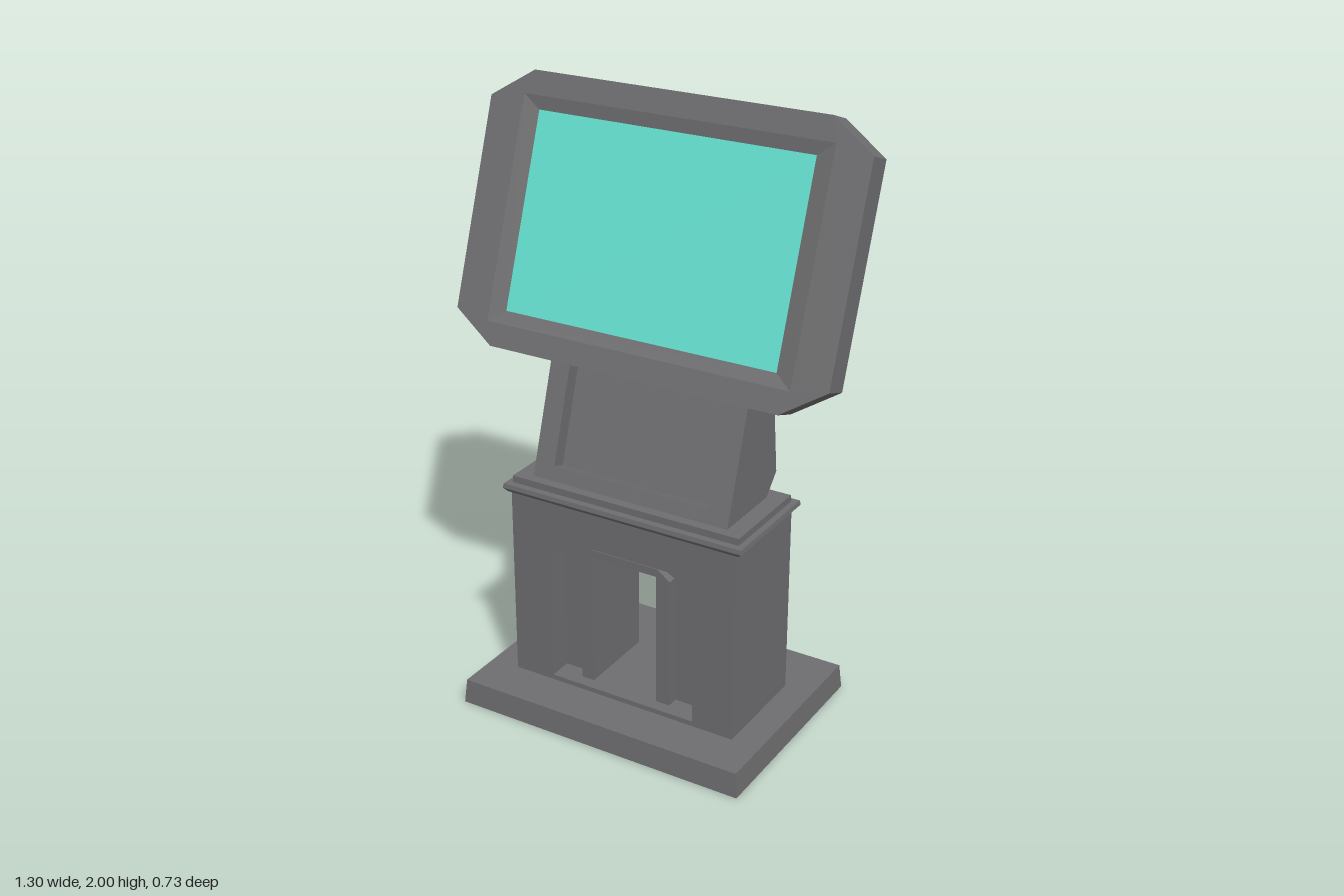
import * as THREE from 'three';
import { ConvexGeometry } from 'three/addons/geometries/ConvexGeometry.js';

const grey = new THREE.MeshStandardMaterial({ color: 0x6e6e70 });
grey.name = 'grey casing';
const cyan = new THREE.MeshStandardMaterial({ color: 0x64dfcf });
cyan.name = 'cyan screen';

const V = (x, y, z) => new THREE.Vector3(x, y, z);
const toPoints = (list) => list.map(([a, b]) => new THREE.Vector2(a, b));

function add(parent, name, geometry, material = grey) {
  const mesh = new THREE.Mesh(geometry, material);
  mesh.name = name;
  parent.add(mesh);
  return mesh;
}

// Flat outline in x and y, extruded from z0 to z1, with an optional hole
function slab(outline, z0, z1, hole) {
  const shape = new THREE.Shape(toPoints(outline));
  if (hole) shape.holes.push(new THREE.Path(toPoints(hole)));
  const g = new THREE.ExtrudeGeometry(shape, { depth: z1 - z0, bevelEnabled: false });
  return g.translate(0, 0, z0);
}

// Side profile in z and y, extruded across x
function across(profile, x, width) {
  return slab(profile, -width / 2, width / 2).rotateY(-Math.PI / 2).translate(x, 0, 0);
}

// Box whose bottom and top differ in size
function taperedBox(y0, y1, w0, d0, w1, d1) {
  const g = new THREE.BoxGeometry(1, y1 - y0, 1).translate(0, (y0 + y1) / 2, 0);
  const p = g.attributes.position;
  for (let i = 0; i < p.count; i++) {
    const top = p.getY(i) > (y0 + y1) / 2;
    p.setX(i, p.getX(i) * (top ? w1 : w0));
    p.setZ(i, p.getZ(i) * (top ? d1 : d0));
  }
  g.computeVertexNormals();
  return g;
}

// Convex block from mirrored points given as [half width, y, z]
function mirroredHull(list) {
  return new ConvexGeometry(list.flatMap(([x, y, z]) => [V(x, y, z), V(-x, y, z)]));
}

const rect = (x0, y0, x1, y1) => [[x0, y0], [x1, y0], [x1, y1], [x0, y1]];

function buildPedestal() {
  const group = new THREE.Group();
  group.name = 'pedestal';
  add(group, 'base', taperedBox(0, 0.083, 1.02, 0.725, 1.005, 0.712));

  // Column with an arched recess front and back, and a framed opening through it
  const column = new THREE.Group();
  column.name = 'column';
  column.position.z = 0.025;
  group.add(column);
  const body = rect(-0.405, 0.08, 0.405, 0.74);
  const arch = [[-0.262, 0.1], [0.262, 0.1], [0.262, 0.555], [0.17, 0.61], [-0.17, 0.61], [-0.262, 0.555]];
  const frame = [[-0.175, 0.1], [0.155, 0.1], [0.155, 0.55], [0.11, 0.582], [-0.13, 0.582], [-0.175, 0.55]];
  const opening = rect(-0.13, 0.1, 0.105, 0.555);
  add(column, 'columnFront', slab(body, 0.1, 0.18, arch));
  add(column, 'columnCore', slab(body, -0.1, 0.1, frame));
  add(column, 'columnBack', slab(body, -0.18, -0.1, arch));
  add(column, 'openingFrame', slab(frame, -0.14, 0.14, opening));

  // Stepped cap
  add(column, 'capUnderside', taperedBox(0.735, 0.747, 0.83, 0.37, 0.86, 0.385));
  add(column, 'capLower', taperedBox(0.747, 0.762, 0.86, 0.385, 0.855, 0.38));
  add(column, 'capUpper', taperedBox(0.762, 0.785, 0.815, 0.335, 0.815, 0.335));
  return group;
}

function buildHousing() {
  const group = new THREE.Group();
  group.name = 'housing';
  const back = [[0.005, 1.272], [-0.125, 1.08], [-0.15, 0.85], [-0.09, 0.785]];
  const cheek = [[0.16, 0.785], ...back];
  // The middle has a notch in its sloping front
  const notched = [[0.16, 0.785], [0.1456, 0.83], [0.098, 0.815], [-0.004, 1.135], [0.0433, 1.15], ...back];
  add(group, 'housingMiddle', across(notched, 0, 0.56));
  for (const side of [-1, 1]) add(group, 'housingCheek', across(cheek, side * 0.315, 0.07));

  // Faceted shoulder rising to the neck
  add(group, 'shoulder', mirroredHull([[0.35, 1.272, 0.005], [0.35, 1.08, -0.125], [0.175, 1.22, -0.14]]));

  // Bent neck behind the screen
  const bend = [[0.175, 1.37, -0.14], [0.14, 1.315, -0.05]];
  add(group, 'neckLower', mirroredHull([[0.175, 1.215, -0.138], [0.15, 1.23, -0.045], ...bend]));
  add(group, 'neckUpper', mirroredHull([...bend, [0.09, 1.44, -0.055], [0.09, 1.44, -0.04], [0.11, 1.385, -0.02]]));
  return group;
}

function buildScreen() {
  const group = new THREE.Group();
  group.name = 'screen';
  group.position.set(0, 1.595, 0.0025);
  group.rotation.x = -Math.atan2(0.285, 0.81);

  const w = 0.65, h = 0.43, cx = 0.505, cy = 0.335;
  const octagon = [[-cx, -h], [cx, -h], [w, -cy], [w, cy], [cx, h], [-cx, h], [-w, cy], [-w, -cy]];
  const outer = rect(-0.53, -0.355, 0.53, 0.355);
  const inner = rect(-0.473, -0.313, 0.473, 0.313);
  add(group, 'screenBody', slab(octagon, -0.09, -0.014));
  add(group, 'bezel', slab(octagon, -0.014, 0, outer));

  // Sloping border between bezel and display
  const pos = [];
  for (let i = 0; i < 4; i++) {
    const j = (i + 1) % 4;
    const a = [...outer[i], 0], b = [...outer[j], 0];
    const c = [...inner[j], -0.011], d = [...inner[i], -0.011];
    pos.push(...a, ...b, ...c, ...a, ...c, ...d);
  }
  const border = new THREE.BufferGeometry();
  border.setAttribute('position', new THREE.Float32BufferAttribute(pos, 3));
  border.computeVertexNormals();
  add(group, 'screenBorder', border);

  add(group, 'display', new THREE.BoxGeometry(0.946, 0.626, 0.004).translate(0, 0, -0.0125), cyan);
  return group;
}

export function createModel() {
  const model = new THREE.Group();
  model.name = 'kiosk';
  const stand = new THREE.Group();
  stand.name = 'stand';
  stand.position.x = 0.007;
  stand.add(buildPedestal(), buildHousing());
  model.add(stand, buildScreen());
  return model;
}
